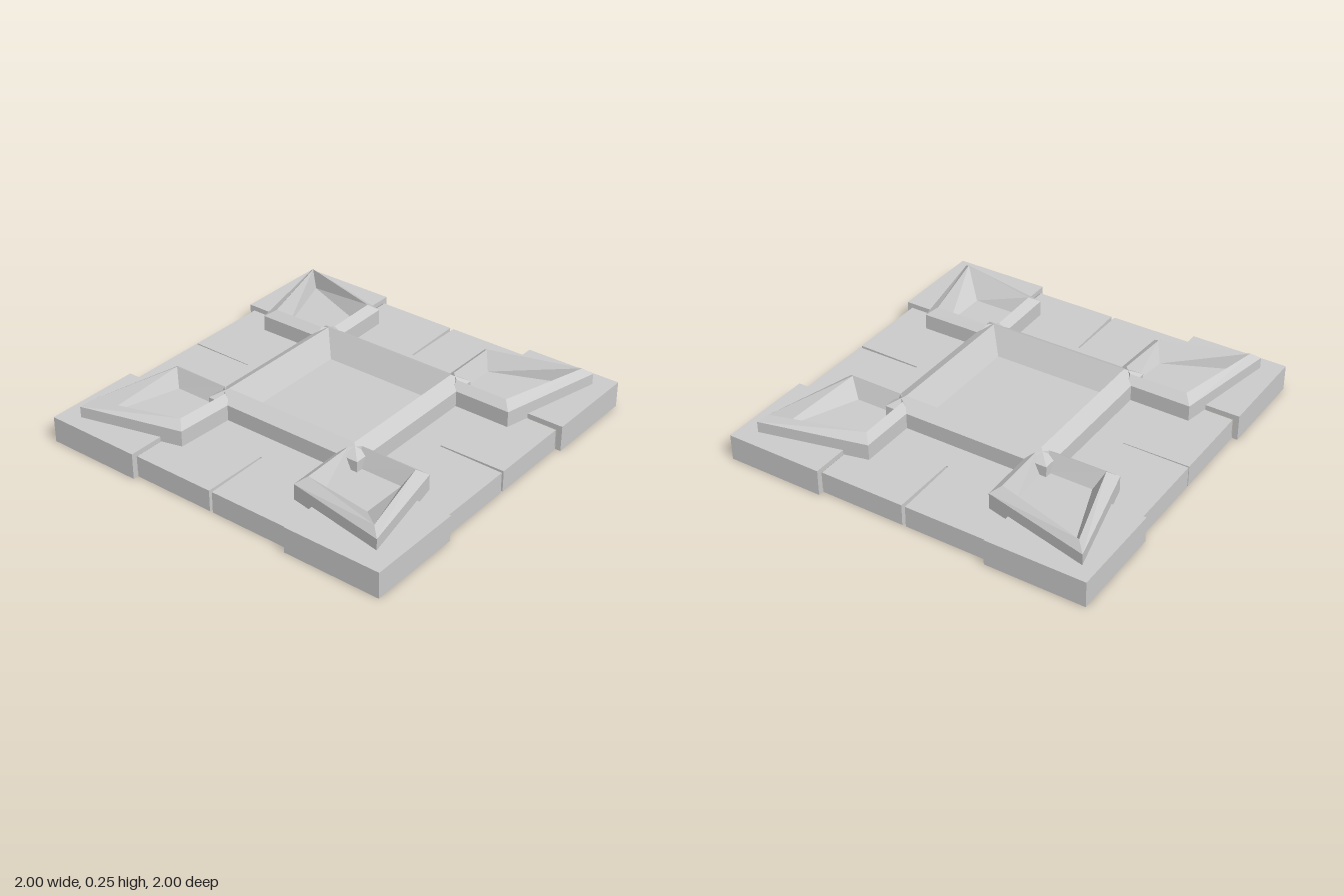
import * as THREE from 'three';

const material = new THREE.MeshStandardMaterial({ color: 0xcccccc, flatShading: true });

function addMesh(parent, geometry, name) {
  const mesh = new THREE.Mesh(geometry, material);
  mesh.name = name;
  parent.add(mesh);
  return mesh;
}

function addBox(parent, name, x0, x1, y0, y1, z0, z1) {
  const geometry = new THREE.BoxGeometry(Math.abs(x1 - x0), y1 - y0, Math.abs(z1 - z0));
  addMesh(parent, geometry, name).position.set((x0 + x1) / 2, (y0 + y1) / 2, (z0 + z1) / 2);
}

// Joins matching [x, z] loops at given heights and closes the last with a fan from capStart
function loft(levels, capStart) {
  const n = levels[0].points.length;
  const pos = [];
  const index = [];
  for (const { y, points } of levels) for (const [x, z] of points) pos.push(x, y, z);
  for (let l = 0; l < levels.length - 1; l++) {
    for (let i = 0; i < n; i++) {
      const j = (i + 1) % n;
      const a = l * n + i, b = l * n + j;
      index.push(a, b, b + n, a, b + n, a + n);
    }
  }
  const base = (levels.length - 1) * n;
  for (let i = 1; i < n - 1; i++) {
    index.push(base + capStart, base + (capStart + i) % n, base + (capStart + i + 1) % n);
  }
  const geometry = new THREE.BufferGeometry();
  geometry.setAttribute('position', new THREE.Float32BufferAttribute(pos, 3));
  geometry.setIndex(index);
  const flat = geometry.toNonIndexed();
  flat.computeVertexNormals();
  return flat;
}

// Base slab: four slit arms with a stepped notch at each corner
function slabGeometry() {
  const shape = new THREE.Shape();
  const slits = [[-0.012, 0.004], [-0.004, 0.016], [-0.004, 0.004], [-0.006, 0.012]];
  const points = [];
  slits.forEach(([s0, s1], k) => {
    const side = [
      [-0.64, 0.64], [-0.465, 0.64], [-0.465, 0.97], [s0, 0.97], [s0 / 2, 0.61],
      [s1 / 2, 0.61], [s1, 0.97], [0.46, 0.97], [0.465, 0.64],
    ];
    for (const [u, v] of side) {
      const p = new THREE.Vector2(u, -v).rotateAround(new THREE.Vector2(), k * Math.PI / 2);
      points.push(p);
    }
  });
  shape.setFromPoints(points);
  return new THREE.ExtrudeGeometry(shape, { depth: 0.115, bevelEnabled: false }).rotateX(-Math.PI / 2);
}

// Kite-shaped raised rim; side, tip and end are the three free corners
function kiteGeometry(sx, sz, outer, ridge, floor) {
  const place = ([side, tip, end], w, inner) => {
    const loop = [side, tip, end, [w, inner[0]], [inner[1], inner[1]], [inner[0], w]];
    // the neck starts on the end side and returns on the other side
    loop[3] = [inner[0], w];
    loop[5] = [w, inner[0]];
    const out = loop.map(([x, z]) => [x * sx, z * sz]);
    return sx * sz < 0 ? out.reverse() : out;
  };
  const o = place(outer, 0.338, [0.44, 0.4]);
  const r = place(ridge, 0.382, [0.43, 0.405]);
  const f = place(floor, 0.425, [0.45, 0.425]);
  return loft([
    { y: 0.1, points: o },
    { y: 0.2, points: o },
    { y: 0.235, points: r },
    { y: 0.143, points: f },
  ], sx * sz < 0 ? 4 : 1);
}

export function createModel() {
  const model = new THREE.Group();
  model.name = 'floorTile';

  addMesh(model, slabGeometry(), 'baseSlab');

  // Central square frame with a sunken floor
  const square = (r) => [[-r, r], [r, r], [r, -r], [-r, -r]];
  addMesh(model, loft([
    { y: 0.1, points: square(0.462) },
    { y: 0.2, points: square(0.462) },
    { y: 0.245, points: square(0.39) },
    { y: 0.118, points: square(0.31) },
  ], 0), 'centralFrame');

  // Each corner: outer rim loop, ridge loop and floor loop of the kite (mirrored by sx, sz)
  const corners = [
    { name: 'frontLeft', sx: 1, sz: 1,
      outer: [[0.335, 0.77], [0.905, 0.905], [0.77, 0.338]],
      ridge: [[0.38, 0.725], [0.865, 0.862], [0.725, 0.38]],
      floor: [[0.425, 0.66], [0.84, 0.835], [0.675, 0.425]] },
    { name: 'frontRight', sx: -1, sz: 1,
      outer: [[0.335, 0.785], [0.88, 0.895], [0.78, 0.345]],
      ridge: [[0.385, 0.74], [0.84, 0.85], [0.73, 0.39]],
      floor: [[0.425, 0.69], [0.68, 0.69], [0.68, 0.44]] },
    { name: 'backLeft', sx: 1, sz: -1,
      outer: [[0.335, 0.785], [0.91, 0.925], [0.77, 0.345]],
      ridge: [[0.38, 0.735], [0.865, 0.88], [0.725, 0.39]],
      floor: [[0.425, 0.69], [0.835, 0.835], [0.675, 0.435]] },
    { name: 'backRight', sx: -1, sz: -1,
      outer: [[0.335, 0.79], [0.917, 0.895], [0.775, 0.355]],
      ridge: [[0.385, 0.745], [0.875, 0.853], [0.73, 0.4]],
      floor: [[0.425, 0.7], [0.84, 0.82], [0.67, 0.445]] },
  ];
  for (const { name, sx, sz, outer, ridge, floor } of corners) {
    const corner = new THREE.Group();
    corner.name = name + 'Corner';
    // Hollow corner block: top plate and two outer walls
    addBox(corner, 'cornerTop', 0.468 * sx, sx, 0.113, 0.14, 0.468 * sz, sz);
    addBox(corner, 'cornerSideWall', 0.97 * sx, sx, 0, 0.113, 0.468 * sz, sz);
    addBox(corner, 'cornerEndWall', 0.468 * sx, 0.97 * sx, 0, 0.113, 0.97 * sz, sz);
    addMesh(corner, kiteGeometry(sx, sz, outer, ridge, floor), 'kiteRim');
    model.add(corner);
  }
  return model;
}
